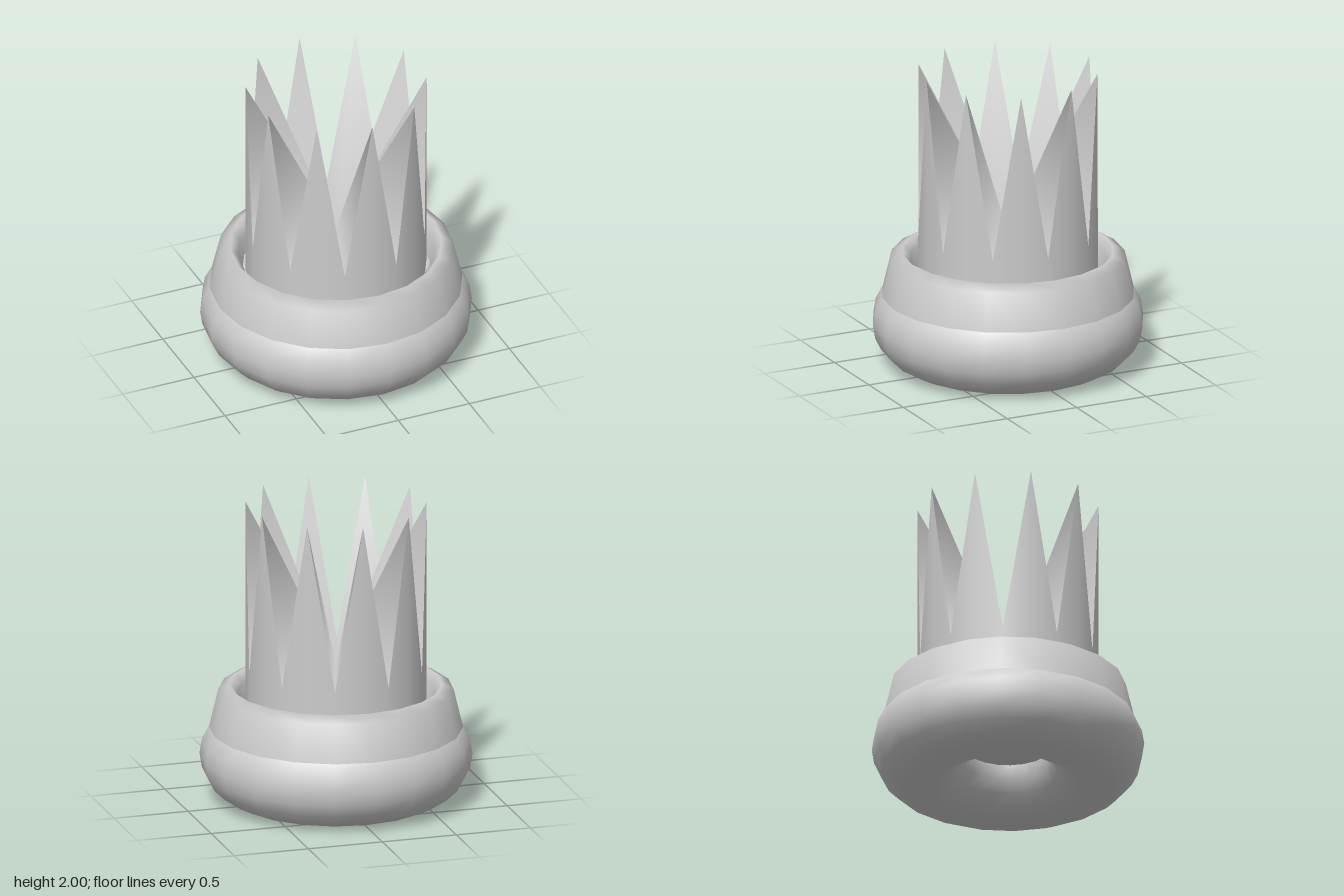
import * as THREE from 'three';
import { mergeVertices } from 'three/addons/utils/BufferGeometryUtils.js';

const SIDES = 20, CROWN_R = 0.585, FLOOR = 0.3, VALLEY = 0.885, TIP = 2;

// Lifts every other rim vertex to a tip, the rest and the centre to the valley height
function raiseSpikes(geometry) {
  const p = geometry.attributes.position;
  for (let i = 0; i < p.count; i++) {
    if (p.getY(i) < 0) { p.setY(i, FLOOR); continue; }
    const x = p.getX(i), z = p.getZ(i);
    const step = Math.round(Math.atan2(x, z) / (2 * Math.PI / SIDES));
    p.setY(i, Math.hypot(x, z) > 0.1 && step % 2 === 0 ? TIP : VALLEY);
  }
  return geometry;
}

export function createModel() {
  const model = new THREE.Group();
  const material = new THREE.MeshStandardMaterial({ color: 0xcccccc });
  const add = (name, geometry, parent = model) => {
    const mesh = new THREE.Mesh(geometry, material);
    mesh.name = name;
    parent.add(mesh);
    return mesh;
  };

  // Thick ring the model rests on
  add('baseRing', new THREE.TorusGeometry(0.58, 0.3, SIDES, SIDES).rotateX(Math.PI / 2)).position.y = 0.3;

  // Tapered collar with a rounded rim, sloping down inside to the crown
  const collarProfile = [[0.835, 0.4], [0.82, 0.475], [0.76, 0.73], [0.685, 0.77], [0.635, 0.71], [0.6, 0.57]];
  add('collar', new THREE.LatheGeometry(collarProfile.map(([r, y]) => new THREE.Vector2(r, y)), SIDES));

  // Ten-pointed crown: zigzag wall, folded top fan and flat underside
  const crown = new THREE.Group();
  crown.name = 'crown';
  model.add(crown);
  add('crownWall', raiseSpikes(new THREE.CylinderGeometry(CROWN_R, CROWN_R, 1, SIDES, 1, true)), crown);

  let fan = new THREE.CircleGeometry(CROWN_R, SIDES).rotateX(-Math.PI / 2).translate(0, 1, 0);
  fan.deleteAttribute('uv');
  fan.deleteAttribute('normal');
  fan = mergeVertices(raiseSpikes(fan), 1e-4);
  fan.computeVertexNormals();
  add('crownTop', fan, crown);

  const underside = new THREE.CircleGeometry(CROWN_R, SIDES).rotateX(Math.PI / 2);
  add('crownUnderside', underside, crown).position.y = FLOOR;

  return model;
}
